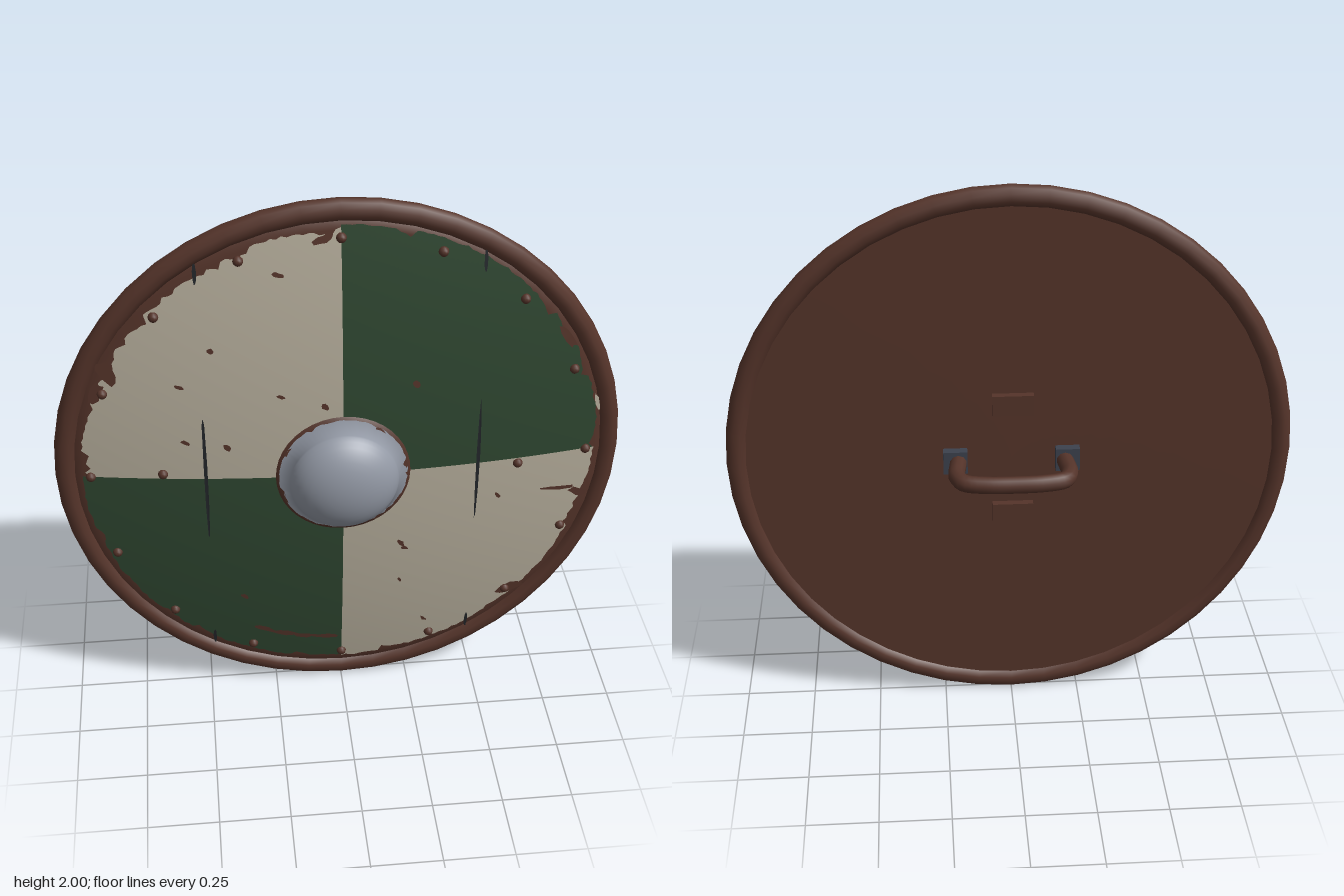
import * as THREE from 'three';

const mat = (name, color) => {
  const m = new THREE.MeshStandardMaterial({ color });
  m.name = name;
  return m;
};

// Height of the shield face and of the boss at distance r from the centre
const face = r => 0.11 - 0.1 * r * r;
const boss = r => r > 0.19 ? 0.108 + (0.235 - r) * 0.35
  : 0.125 + 0.12 * Math.sqrt(1 - (r / 0.195) ** 2);

export function createModel() {
  const wood = mat('brownWood', 0x55342a);
  const green = mat('greenPaint', 0x2f4731);
  const cream = mat('creamPaint', 0xb6ae9c);
  const steel = mat('steel', 0x949aa6);
  const iron = mat('darkIron', 0x3c424e);
  const dark = mat('crackBlack', 0x23262a);

  let seed = 11;
  const rand = () => (seed = (seed * 16807) % 2147483647) / 2147483647;

  const shield = new THREE.Group();
  shield.name = 'roundShield';
  shield.position.y = 1;
  const add = (name, geo, material, x = 0, y = 0, z = 0) => {
    const mesh = new THREE.Mesh(geo, material);
    mesh.name = name;
    mesh.position.set(x, y, z);
    shield.add(mesh);
  };
  const lathe = (pts, seg) =>
    new THREE.LatheGeometry(pts.map(p => new THREE.Vector2(...p)), seg).rotateX(Math.PI / 2);

  // Thin sheet that follows a round surface, with a ragged outer edge
  function sheet(height, rings, edge, a0, a1, seg) {
    const pos = [], nor = [], idx = [], n = rings.length + 1;
    for (let i = 0; i <= seg; i++) {
      const a = a0 + (a1 - a0) * i / seg, c = Math.cos(a), s = Math.sin(a);
      [...rings, edge()].forEach((r, k) => {
        pos.push(c * r, s * r, height(r) + 0.003);
        const slope = (height(r + 0.002) - height(Math.max(r - 0.002, 0))) / 0.004;
        const l = Math.hypot(slope, 1);
        nor.push(-slope * c / l, -slope * s / l, 1 / l);
        if (i < seg && k < n - 1) {
          const p = i * n + k, q = p + n;
          idx.push(p, p + 1, q + 1, p, q + 1, q);
        }
      });
    }
    const g = new THREE.BufferGeometry();
    g.setAttribute('position', new THREE.Float32BufferAttribute(pos, 3));
    g.setAttribute('normal', new THREE.Float32BufferAttribute(nor, 3));
    g.setIndex(idx);
    return g;
  }

  // Small irregular flake lying on a surface
  function flake(name, material, height, x, y, len, wid, angle, rough = 0.5) {
    const c = Math.cos(angle), s = Math.sin(angle);
    const g = new THREE.CircleGeometry(1, 9), p = g.attributes.position, last = p.count - 1;
    for (let i = 0; i < last; i++) {
      const k = i ? 1 - rough * rand() : 1;
      const u = p.getX(i) * k * len / 2, v = p.getY(i) * k * wid / 2;
      const px = x + u * c - v * s, py = y + u * s + v * c;
      p.setXYZ(i, px, py, height(Math.hypot(px, py)) + 0.007);
    }
    p.setXYZ(last, p.getX(1), p.getY(1), p.getZ(1));
    g.computeVertexNormals();
    add(name, g, material);
  }

  // Domed wooden body with a flat back, and the rim
  const body = [[0, -0.015], [0.93, -0.015], [0.95, -0.012]];
  for (let i = 19; i >= 0; i--) body.push([i * 0.05, face(i * 0.05)]);
  add('woodenBody', lathe(body, 64), wood);
  add('rim', new THREE.TorusGeometry(0.962, 0.038, 10, 48), wood, 0, 0, 0.004);

  // Four painted quarters with a worn edge
  const rings = Array.from({ length: 14 }, (_, i) => 0.2 + i * 0.05);
  for (let q = 0; q < 4; q++) {
    let wear = 0;
    const edge = () => {
      wear = rand() < 0.14 ? 0.035 * rand() : wear * 0.7;
      return (q === 0 ? 0.922 : 0.91) - wear - 0.008 * rand();
    };
    add(q % 2 ? 'creamQuarter' : 'greenQuarter',
      sheet(face, rings, edge, q * Math.PI / 2, (q + 1) * Math.PI / 2, 80), q % 2 ? cream : green);
  }

  // Small paint chips
  const chips = [
    [-0.21, 0.76], [-0.21, 0.325], [-0.55, 0.365], [-0.44, 0.5], [-0.06, 0.28], [-0.54, 0.15],
    [-0.4, 0.13], [0.25, 0.345], [0.21, -0.325], [0.225, -0.35], [0.21, -0.505], [0.56, -0.15],
    [0.31, -0.73], [-0.36, -0.55],
  ];
  for (const [x, y] of chips) {
    flake('paintChip', wood, face, x, y, 0.035 + 0.015 * rand(), 0.015 + 0.015 * rand(), -rand());
  }

  // Larger gouges: x, y, length, width, angle
  const gouges = [
    [0.78, -0.155, 0.18, 0.022, -0.08], [0.86, -0.185, 0.1, 0.04, -0.4],
    [-0.79, 0.42, 0.14, 0.07, -0.9], [-0.83, 0.34, 0.1, 0.05, 1.1],
    [0.78, 0.46, 0.14, 0.04, -1], [0.64, -0.62, 0.14, 0.06, 0.4],
    [-0.06, 0.875, 0.08, 0.04, 0.4],
  ];
  for (const g of gouges) flake('paintGouge', wood, face, ...g);
  // Long scrape following the lower edge
  for (let i = 0; i < 4; i++) {
    const a = -1.95 + i * 0.1;
    flake('paintScrape', wood, face, 0.785 * Math.cos(a), 0.785 * Math.sin(a), 0.12, 0.03, a + Math.PI / 2);
  }
  flake('creamSplash', cream, face, 0.905, 0.19, 0.09, 0.018, -1.35);

  // Plank cracks: long middle split and a short one at each end
  for (const s of [-1, 1]) {
    for (const [y, len] of [[0.005, 0.57], [0.77, 0.09], [-0.765, 0.08]]) {
      flake('plankCrack', dark, face, s * 0.478, y, len, 0.014, Math.PI / 2, 0.2);
    }
  }

  // Rivets around the edge and one extra on each side
  const rivetGeo = new THREE.SphereGeometry(0.018, 10, 6);
  for (let i = 0; i < 16; i++) {
    const a = i * Math.PI / 8;
    add('rivet', rivetGeo, wood, 0.876 * Math.cos(a), 0.876 * Math.sin(a), face(0.876) + 0.004);
  }
  for (const s of [-1, 1]) add('sideRivet', rivetGeo, wood, s * 0.625, s * -0.02, face(0.625) + 0.004);

  // Boss: rusty flange below a steel dome with a worn edge
  add('bossFlange', lathe([[0.236, 0.09], [0.236, 0.108], [0.19, 0.124], [0, 0.124]], 40), wood);
  const bossRings = Array.from({ length: 10 }, (_, i) => 0.19 * Math.sin(i * Math.PI / 18));
  const bossEdge = () => 0.227 - (rand() < 0.25 ? 0.014 : 0.004) * rand();
  add('bossDome', sheet(boss, bossRings, bossEdge, 0, Math.PI * 2, 72), steel);
  for (const deg of [8, 55, 150, 203, 232, 302, 330]) {
    const a = deg * Math.PI / 180;
    flake('bossRust', wood, boss, 0.214 * Math.cos(a), 0.214 * Math.sin(a),
      0.04 + 0.02 * rand(), 0.032, a + Math.PI / 2, 0.3);
  }

  // Grip bar, its brackets and the two back plates
  const half = [[0.183, -0.01], [0.192, -0.08], [0.196, -0.14], [0.175, -0.188], [0.1, -0.209]];
  const path = [...half, [0, -0.213], ...half.map(([x, z]) => [-x, z]).reverse()];
  const curve = new THREE.CatmullRomCurve3(path.map(([x, z]) => new THREE.Vector3(x, 0, z)));
  add('handle', new THREE.TubeGeometry(curve, 40, 0.03, 10), wood);
  for (const s of [-1, 1]) {
    add('handleBracket', new THREE.BoxGeometry(0.085, 0.085, 0.04), iron, s * 0.198, 0, -0.028);
    add('backPlate', new THREE.BoxGeometry(0.145, 0.075, 0.03), wood, -0.005, s * 0.215, -0.026);
  }

  const model = new THREE.Group();
  model.name = 'shieldModel';
  model.add(shield);
  return model;
}
